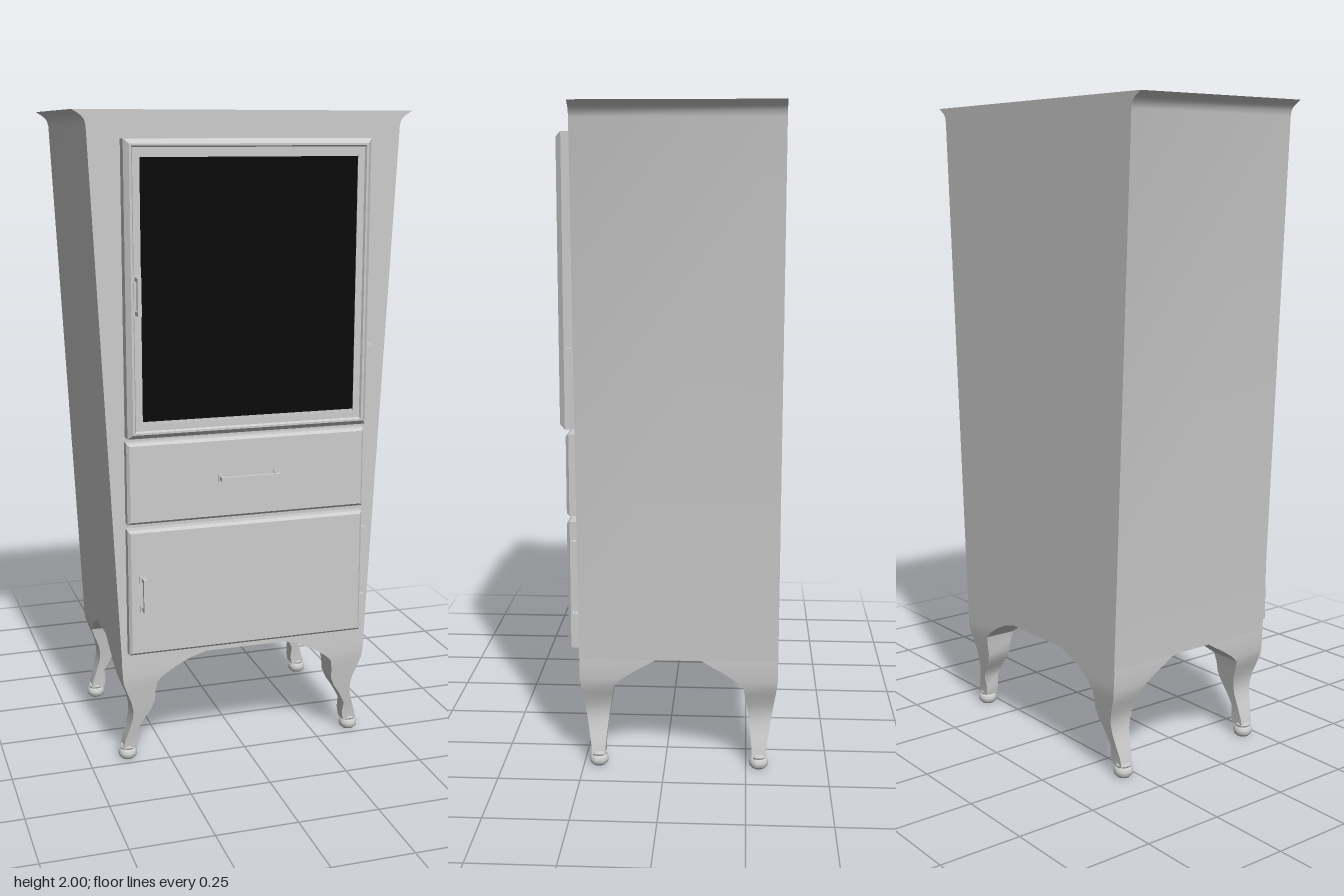
import * as THREE from 'three';
import { toCreasedNormals } from 'three/addons/utils/BufferGeometryUtils.js';

const grey = new THREE.MeshStandardMaterial({ color: 0xcccccc });
const black = new THREE.MeshStandardMaterial({ color: 0x0a0a0a });

function add(parent, name, geometry, x = 0, y = 0, z = 0, material = grey) {
  const mesh = new THREE.Mesh(geometry, material);
  mesh.name = name;
  mesh.position.set(x, y, z);
  parent.add(mesh);
  return mesh;
}

// Box given by its limits
function block(parent, name, [x0, x1], [y0, y1], [z0, z1]) {
  add(parent, name, new THREE.BoxGeometry(x1 - x0, y1 - y0, z1 - z0),
    (x0 + x1) / 2, (y0 + y1) / 2, (z0 + z1) / 2);
}

// Skin over rectangular sections [a0, a1, b0, b1, height], capped at the last one.
// upright: a = z, b = x, height = y; otherwise a = x, b = y, height = z.
function loftRects(sections, upright) {
  const pos = [], idx = [];
  for (const [a0, a1, b0, b1, h] of sections)
    for (const [a, b] of [[a0, b0], [a1, b0], [a1, b1], [a0, b1]])
      pos.push(...(upright ? [b, h, a] : [a, b, h]));
  for (let s = 0; s < sections.length - 1; s++)
    for (let i = 0; i < 4; i++) {
      const p = s * 4 + i, q = s * 4 + (i + 1) % 4;
      idx.push(p, q, q + 4, p, q + 4, p + 4);
    }
  const t = (sections.length - 1) * 4;
  idx.push(t, t + 1, t + 2, t, t + 2, t + 3);
  const g = new THREE.BufferGeometry();
  g.setAttribute('position', new THREE.Float32BufferAttribute(pos, 3));
  g.setIndex(idx);
  return toCreasedNormals(g, 0.6);
}

// Panel on the cabinet front; steps are [inset, z]
function panel(parent, name, [x0, x1], [y0, y1], steps) {
  add(parent, name, loftRects(
    steps.map(([i, z]) => [x0 + i, x1 - i, y0 + i, y1 - i, z]), false));
}

// Bar handle on two posts, centred at (x, y), standing out from z0 to z1
function handle(parent, name, x, y, z0, z1, length, vertical) {
  const g = new THREE.Group();
  g.name = name;
  const t = 0.012, h = length / 2;
  add(g, 'handleBar', new THREE.BoxGeometry(length, t, t), 0, 0, z1 - t / 2);
  for (const s of [-1, 1]) {
    add(g, 'handlePost', new THREE.BoxGeometry(t, t, z1 - z0), s * (h - t / 2), 0, (z0 + z1) / 2);
    add(g, 'handlePlate', new THREE.BoxGeometry(0.022, 0.024, 0.006), s * (h - t / 2), 0, z0 + 0.002);
  }
  g.position.set(x, y, 0);
  if (vertical) g.rotation.z = Math.PI / 2;
  parent.add(g);
}

export function createModel() {
  const cabinet = new THREE.Group();
  cabinet.name = 'cabinet';
  const back = -0.345, front = 0.26, midZ = (back + front) / 2;

  // Tapered body flaring into a cornice at the top
  const side = [[0.402, 0.35], [0.479, 1.955], [0.483, 1.972], [0.493, 1.984], [0.505, 1.992], [0.518, 2]];
  const outline = [...side, ...side.map(([x, y]) => [-x, y]).reverse()];
  const shape = new THREE.Shape(outline.map(([x, y]) => new THREE.Vector2(x, y)));
  const body = new THREE.ExtrudeGeometry(shape, { depth: front - back, bevelEnabled: false });
  add(cabinet, 'body', toCreasedNormals(body, 0.6), 0, 0, back);

  // Upper door with a raised lip and a dark pane
  const doorX = [-0.382, 0.372], doorY = [1.055, 1.92];
  panel(cabinet, 'upperDoor', doorX, doorY, [[0, front], [0, 0.297], [0.014, 0.313],
    [0.02, 0.313], [0.024, 0.306], [0.045, 0.306], [0.045, 0.302]]);
  add(cabinet, 'glassPane', new THREE.PlaneGeometry(0.664, 0.762), -0.005, 1.4875, 0.3035, black);

  // Drawer and lower door
  const bevel = [[0, front], [0, 0.287], [0.008, 0.296]];
  panel(cabinet, 'drawer', [-0.384, 0.372], [0.79, 1.04], bevel);
  panel(cabinet, 'lowerDoor', [-0.384, 0.372], [0.375, 0.772], bevel);

  // Hinges
  for (const y of [1.24, 1.75])
    block(cabinet, 'upperHinge', [0.368, 0.397], [y - 0.06, y + 0.06], [front, 0.286]);
  for (const y of [0.46, 0.685])
    block(cabinet, 'lowerHinge', [0.368, 0.393], [y - 0.03, y + 0.03], [front, 0.28]);

  // Handles
  handle(cabinet, 'upperDoorHandle', -0.351, 1.478, 0.306, 0.345, 0.11, true);
  handle(cabinet, 'drawerHandle', -0.004, 0.917, 0.296, 0.324, 0.19, false);
  handle(cabinet, 'lowerDoorHandle', -0.339, 0.572, 0.296, 0.326, 0.105, true);

  // Curved legs: [y, inner x, outer x, inner z, outer z], z measured from the middle depth
  const legRows = [
    [0.035, 0.35, 0.394, 0.226, 0.268], [0.065, 0.345, 0.388, 0.225, 0.27],
    [0.1, 0.349, 0.377, 0.222, 0.276], [0.14, 0.328, 0.366, 0.217, 0.282],
    [0.17, 0.308, 0.365, 0.213, 0.287], [0.2, 0.296, 0.371, 0.208, 0.291],
    [0.235, 0.295, 0.385, 0.203, 0.296], [0.265, 0.29, 0.396, 0.197, 0.3],
    [0.285, 0.27, 0.399, 0.175, 0.302], [0.312, 0.228, 0.401, 0.135, 0.302],
    [0.335, 0.18, 0.402, 0.095, 0.302], [0.35, 0.13, 0.402, 0.07, 0.302]];
  const footProfile = [[0, 0], [0.02, 0], [0.028, 0.008], [0.03, 0.018], [0.027, 0.028],
    [0.022, 0.032], [0.025, 0.038], [0.022, 0.045], [0, 0.048]];
  const foot = toCreasedNormals(new THREE.LatheGeometry(
    footProfile.map(([r, y]) => new THREE.Vector2(r, y)), 14), 0.6);
  const span = (s, a, b) => (s > 0 ? [a, b] : [-b, -a]);
  for (const sx of [-1, 1]) for (const sz of [-1, 1]) {
    const name = (sz > 0 ? 'front' : 'back') + (sx > 0 ? 'Left' : 'Right');
    const rows = legRows.map(([y, xi, xo, zi, zo]) => [...span(sz, zi, zo), ...span(sx, xi, xo), y]);
    add(cabinet, name + 'Leg', loftRects(rows, true), 0, 0, midZ);
    add(cabinet, name + 'Foot', foot, sx * 0.376, 0, midZ + sz * 0.247);
  }
  return cabinet;
}
